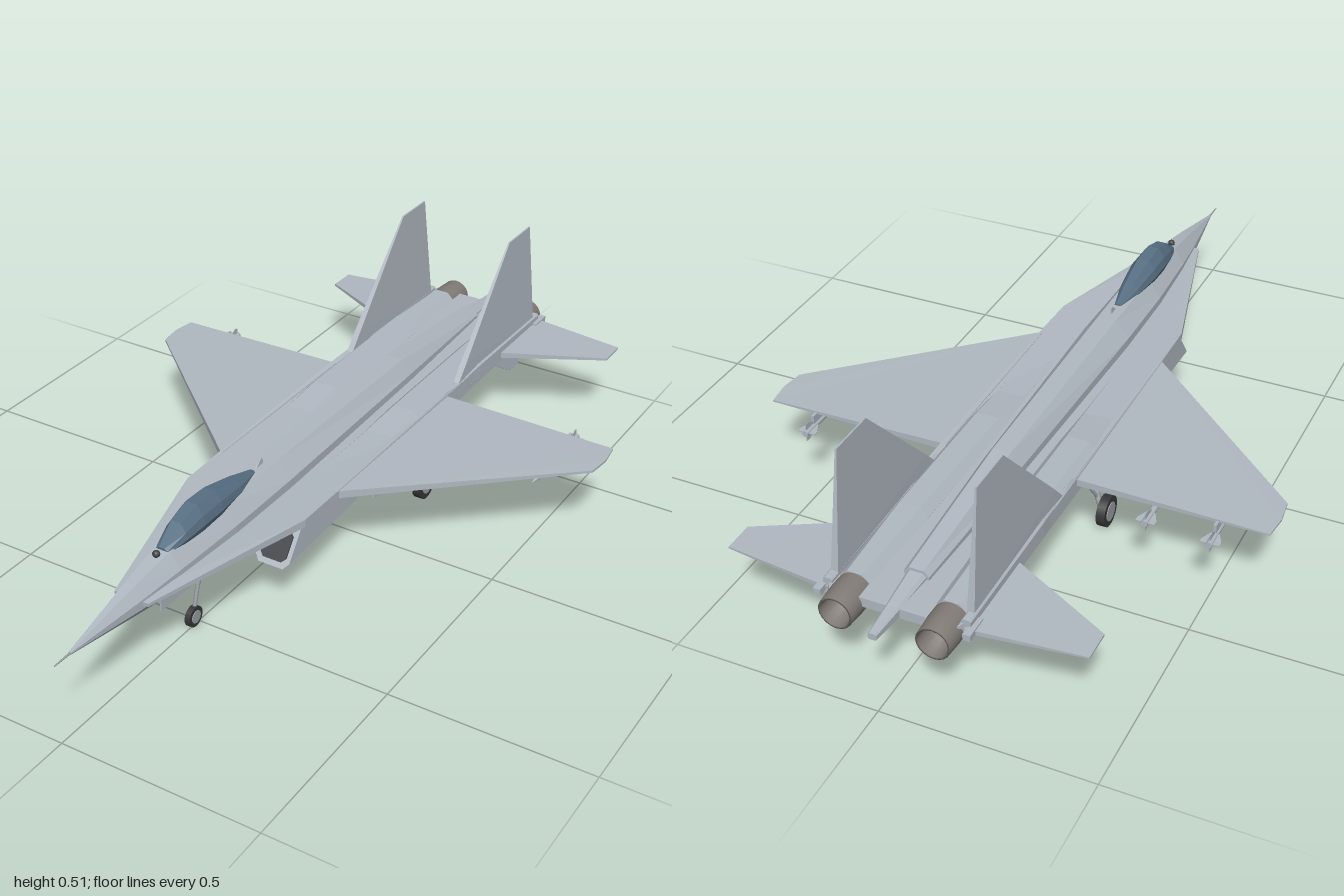
import * as THREE from 'three';

const mat = (name, color, side = THREE.FrontSide) => {
  const m = new THREE.MeshStandardMaterial({ color, side });
  m.name = name;
  return m;
};

function flat(tris) {
  const g = new THREE.BufferGeometry();
  g.setAttribute('position', new THREE.Float32BufferAttribute(tris.flat(), 3));
  g.computeVertexNormals();
  return g;
}

// Skin over rings of [x, y, z] points, front to rear, each counter-clockwise seen from the front
function loft(rings) {
  const t = [], n = rings[0].length, first = rings[0], last = rings[rings.length - 1];
  for (let r = 0; r < rings.length - 1; r++) {
    for (let i = 0; i < n; i++) {
      const j = (i + 1) % n, a = rings[r], b = rings[r + 1];
      t.push(a[i], b[i], a[j], a[j], b[i], b[j]);
    }
  }
  for (let i = 1; i < n - 1; i++) {
    t.push(first[0], first[i], first[i + 1], last[0], last[i + 1], last[i]);
  }
  return flat(t);
}

// Tapered slab: outline points [u, v, centre, half thickness]
function slab(outline, map) {
  const pts = THREE.ShapeUtils.isClockWise(outline.map(p => new THREE.Vector2(p[0], p[1]))) ? [...outline].reverse() : outline;
  const top = pts.map(p => map(p[0], p[1], p[2] + p[3]));
  const low = pts.map(p => map(p[0], p[1], p[2] - p[3]));
  const t = [];
  for (const [a, b, c] of THREE.ShapeUtils.triangulateShape(pts.map(p => new THREE.Vector2(p[0], p[1])), [])) {
    t.push(top[a], top[b], top[c], low[a], low[c], low[b]);
  }
  pts.forEach((_, i) => {
    const j = (i + 1) % pts.length;
    t.push(low[i], low[j], top[j], low[i], top[j], top[i]);
  });
  return flat(t);
}
// Horizontal points: [x, z, y, half thickness]; vertical points: [y, z, x, half thickness]
const level = o => slab(o.map(([x, z, y, t]) => [x, -z, y, t]), (u, v, w) => [u, w, -v]);
const upright = o => slab(o, (u, v, w) => [w, u, v]);

// Chamfered box section, optionally raked so its foot lies forward
function section(z, cx, y0, y1, hw, c, rake = 0) {
  const cy = (y0 + y1) / 2, hh = (y1 - y0) / 2;
  return [[hw, c - hh], [hw, hh - c], [hw - c, hh], [c - hw, hh], [-hw, hh - c], [-hw, c - hh], [c - hw, -hh], [hw - c, -hh]]
    .map(([x, y]) => [cx + x, cy + y, z - y * rake]);
}

// Body section: roof, shoulder, waist and keel
const bodySection = ([z, wt, yt, w, ys, yw, wb, yb]) =>
  [[w, yw, z], [w, ys, z], [wt, yt, z], [-wt, yt, z], [-w, ys, z], [-w, yw, z], [-wb, yb, z], [wb, yb, z]];

export function createModel() {
  const model = new THREE.Group();
  model.name = 'jetFighter';
  const M = {
    skin: mat('airframe grey', 0xb0b8c1),
    glass: mat('canopy blue', 0x587084),
    nozzle: mat('nozzle metal', 0x817b76, THREE.DoubleSide),
    dark: mat('intake dark', 0x3f4246),
    tyre: mat('tyre black', 0x38383a),
    metal: mat('gear metal', 0x999fa4),
  };
  const add = (parent, name, geo, m) => {
    const mesh = new THREE.Mesh(geo, m);
    mesh.name = name;
    parent.add(mesh);
    return mesh;
  };
  const box = (parent, name, m, w, h, d, x, y, z) =>
    add(parent, name, new THREE.BoxGeometry(w, h, d).translate(x, y, z), m);
  const rod = (parent, name, m, a, b, r0, r1 = r0) => {
    const A = new THREE.Vector3(...a), B = new THREE.Vector3(...b), d = B.clone().sub(A);
    const mesh = add(parent, name, new THREE.CylinderGeometry(r1, r0, d.length(), 10), m);
    mesh.position.copy(A).add(B).multiplyScalar(0.5);
    mesh.quaternion.setFromUnitVectors(new THREE.Vector3(0, 1, 0), d.normalize());
    return mesh;
  };
  const wheel = (parent, name, x, y, z, r, w) => {
    const g = new THREE.Group();
    g.name = name;
    g.position.set(x, y, z);
    add(g, 'tyre', new THREE.CylinderGeometry(r, r, w, 24).rotateZ(Math.PI / 2), M.tyre);
    add(g, 'hub', new THREE.CylinderGeometry(r * 0.62, r * 0.62, w + 0.004, 20).rotateZ(Math.PI / 2), M.metal);
    parent.add(g);
  };

  // Fuselage, tail sting and nose probe
  add(model, 'fuselage', loft([
    [0.95, 0.002, 0.208, 0.003, 0.207, 0.204, 0.002, 0.202],
    [0.74, 0.013, 0.252, 0.032, 0.222, 0.198, 0.014, 0.175],
    [0.62, 0.020, 0.272, 0.046, 0.232, 0.198, 0.023, 0.163],
    [0.42, 0.026, 0.283, 0.058, 0.238, 0.198, 0.030, 0.155],
    [0.20, 0.024, 0.283, 0.060, 0.240, 0.198, 0.030, 0.155],
    [-0.40, 0.022, 0.273, 0.047, 0.236, 0.198, 0.028, 0.160],
    [-0.81, 0.018, 0.238, 0.030, 0.225, 0.195, 0.022, 0.175],
  ].map(bodySection)), M.skin);
  add(model, 'tailSting', loft([
    section(-0.80, 0, 0.18, 0.232, 0.024, 0.008),
    section(-0.92, 0, 0.192, 0.22, 0.016, 0.005),
    section(-1, 0, 0.198, 0.214, 0.010, 0.003),
  ]), M.skin);
  rod(model, 'noseProbe', M.metal, [0, 0.205, 0.94], [0, 0.205, 1], 0.003, 0.0015);

  // Canopy: [z, half width, base, shoulder, top]
  add(model, 'canopy', loft([
    [0.625, 0.018, 0.262, 0.272, 0.277], [0.57, 0.031, 0.262, 0.293, 0.314],
    [0.51, 0.037, 0.262, 0.306, 0.330], [0.44, 0.038, 0.265, 0.306, 0.327],
    [0.35, 0.028, 0.270, 0.295, 0.308], [0.27, 0.010, 0.275, 0.283, 0.287],
  ].map(([z, w, yb, ys, yt]) => [[w * 0.8, yb, z], [w, (yb + ys) / 2, z], [w * 0.85, ys, z], [w * 0.4, yt, z],
    [-w * 0.4, yt, z], [-w * 0.85, ys, z], [-w, (yb + ys) / 2, z], [-w * 0.8, yb, z]])), M.glass);
  add(model, 'noseSensor', new THREE.SphereGeometry(0.009, 12, 8).translate(0, 0.273, 0.645), M.dark);
  add(model, 'spineAntenna', upright([[0.278, 0.26, 0, 0.002], [0.298, 0.235, 0, 0.001], [0.298, 0.228, 0, 0.001], [0.278, 0.225, 0, 0.002]]), M.skin);

  // Nose gear
  const noseGear = new THREE.Group();
  noseGear.name = 'noseGear';
  model.add(noseGear);
  rod(noseGear, 'noseStrut', M.metal, [0, 0.165, 0.48], [0, 0.105, 0.50], 0.007);
  rod(noseGear, 'noseFork', M.metal, [0, 0.115, 0.495], [0, 0.03, 0.52], 0.005);
  rod(noseGear, 'noseBrace', M.metal, [0, 0.16, 0.55], [0, 0.11, 0.50], 0.003);
  wheel(noseGear, 'noseWheel', 0, 0.026, 0.52, 0.026, 0.014);

  // Everything paired is built on the left and mirrored
  for (const s of [1, -1]) {
    const half = new THREE.Group();
    half.name = s > 0 ? 'leftSide' : 'rightSide';
    half.scale.x = s;
    model.add(half);

    // Blended deck, wing and tailplane
    add(half, 'strakeDeck', level([
      [0.01, 0.74, 0.212, 0.006], [0.045, 0.74, 0.212, 0.004], [0.165, 0.30, 0.214, 0.010], [0.168, 0.16, 0.214, 0.011],
      [0.172, -0.37, 0.214, 0.012], [0.172, -0.87, 0.205, 0.015], [0.15, -0.915, 0.205, 0.012], [0.01, -0.915, 0.205, 0.012],
    ]), M.skin);
    add(half, 'wing', level([
      [0.16, 0.165, 0.214, 0.010], [0.63, -0.25, 0.213, 0.003], [0.637, -0.31, 0.213, 0.003],
      [0.63, -0.37, 0.213, 0.002], [0.16, -0.37, 0.214, 0.009],
    ]), M.skin);
    add(half, 'tailplane', level([
      [0.16, -0.665, 0.203, 0.008], [0.425, -0.80, 0.203, 0.003], [0.425, -0.875, 0.203, 0.002], [0.16, -0.905, 0.203, 0.006],
    ]), M.skin);

    // Engine nacelle with raked intake
    const mouth = section(0.335, 0.113, 0.12, 0.215, 0.046, 0.013, 0.74);
    add(half, 'nacelle', loft([
      mouth,
      section(0.10, 0.114, 0.133, 0.218, 0.048, 0.013),
      section(-0.12, 0.115, 0.146, 0.222, 0.048, 0.014),
      section(-0.24, 0.117, 0.149, 0.234, 0.047, 0.018),
      section(-0.62, 0.117, 0.150, 0.238, 0.046, 0.020),
      section(-0.87, 0.114, 0.150, 0.235, 0.043, 0.025),
    ]), M.skin);
    const opening = dz => mouth.map(([x, y, z]) =>
      [0.114 + (x - 0.113) * 0.74, 0.162 + (y - 0.1675) * 0.6, 0.337 + (z - 0.335) * 0.6 + dz]);
    add(half, 'intakeOpening', loft([opening(0.007), opening(0)]), M.dark);

    // Exhaust nozzle
    const nozzle = [[0.001, 0.02], [0.030, 0.02], [0.035, 0.1], [0.040, 0.1], [0.043, 0.05], [0.042, 0]]
      .map(([r, d]) => new THREE.Vector2(r, d));
    add(half, 'nozzle', new THREE.LatheGeometry(nozzle, 20).rotateX(-Math.PI / 2).translate(0.114, 0.192, -0.856), M.nozzle);
    add(half, 'nozzleCore', new THREE.CircleGeometry(0.030, 20).rotateY(Math.PI).translate(0.114, 0.192, -0.88), M.dark);

    // Vertical fin, its root fairing and the ventral fin
    add(half, 'fin', upright([
      [0.22, -0.435, 0.16, 0.008], [0.27, -0.48, 0.16, 0.008], [0.515, -0.71, 0.159, 0.002],
      [0.515, -0.83, 0.159, 0.002], [0.22, -0.875, 0.16, 0.009],
    ]), M.skin);
    add(half, 'finFairing', loft([
      section(-0.40, 0.162, 0.205, 0.222, 0.004, 0.001),
      section(-0.55, 0.162, 0.185, 0.234, 0.012, 0.004),
      section(-0.90, 0.162, 0.185, 0.228, 0.011, 0.004),
    ]), M.skin);
    box(half, 'tailActuator', M.skin, 0.018, 0.016, 0.06, 0.175, 0.205, -0.895);
    add(half, 'ventralFin', upright([
      [0.175, -0.66, 0.155, 0.004], [0.11, -0.76, 0.16, 0.002], [0.11, -0.81, 0.16, 0.002], [0.175, -0.81, 0.155, 0.004],
    ]), M.skin);

    // Main gear and doors
    rod(half, 'mainStrut', M.metal, [0.125, 0.15, -0.20], [0.172, 0.042, -0.23], 0.007);
    rod(half, 'mainBrace', M.metal, [0.14, 0.15, -0.27], [0.16, 0.07, -0.225], 0.004);
    rod(half, 'mainAxle', M.metal, [0.165, 0.04, -0.23], [0.185, 0.04, -0.23], 0.006);
    wheel(half, 'mainWheel', 0.186, 0.04, -0.23, 0.039, 0.022);
    box(half, 'mainGearDoor', M.skin, 0.005, 0.075, 0.17, 0.143, 0.117, -0.135);
    box(half, 'noseGearDoor', M.skin, 0.004, 0.03, 0.16, 0.016, 0.15, 0.58);

    // Pylons and missiles: [x, y, front z, rear z]
    for (const [x, y, zf, zr] of [[0.35, 0.178, -0.08, -0.405], [0.51, 0.185, -0.17, -0.425]]) {
      const missile = new THREE.Group();
      missile.name = 'missile';
      half.add(missile);
      box(half, 'pylon', M.skin, 0.007, 0.214 - y, 0.14, x, (y + 0.212) / 2, (zf + zr) / 2 - 0.02);
      rod(missile, 'missileBody', M.skin, [x, y, zr], [x, y, zf - 0.03], 0.008);
      rod(missile, 'missileNose', M.skin, [x, y, zf - 0.03], [x, y, zf], 0.008, 0.001);
      for (const turn of [0, Math.PI / 2]) {
        const fins = new THREE.Group();
        fins.name = 'missileFins';
        fins.position.set(x, y, 0);
        fins.rotation.z = turn;
        missile.add(fins);
        add(fins, 'tailFins', level([
          [-0.010, zr + 0.045, 0, 0.0015], [0.010, zr + 0.045, 0, 0.0015], [0.023, zr + 0.018, 0, 0.001],
          [0.023, zr + 0.006, 0, 0.001], [-0.023, zr + 0.006, 0, 0.001], [-0.023, zr + 0.018, 0, 0.001],
        ]), M.skin);
        add(fins, 'foreFins', level([
          [0, zf - 0.045, 0, 0.0015], [0.018, zf - 0.075, 0, 0.001], [-0.018, zf - 0.075, 0, 0.001],
        ]), M.skin);
      }
    }
  }
  return model;
}
